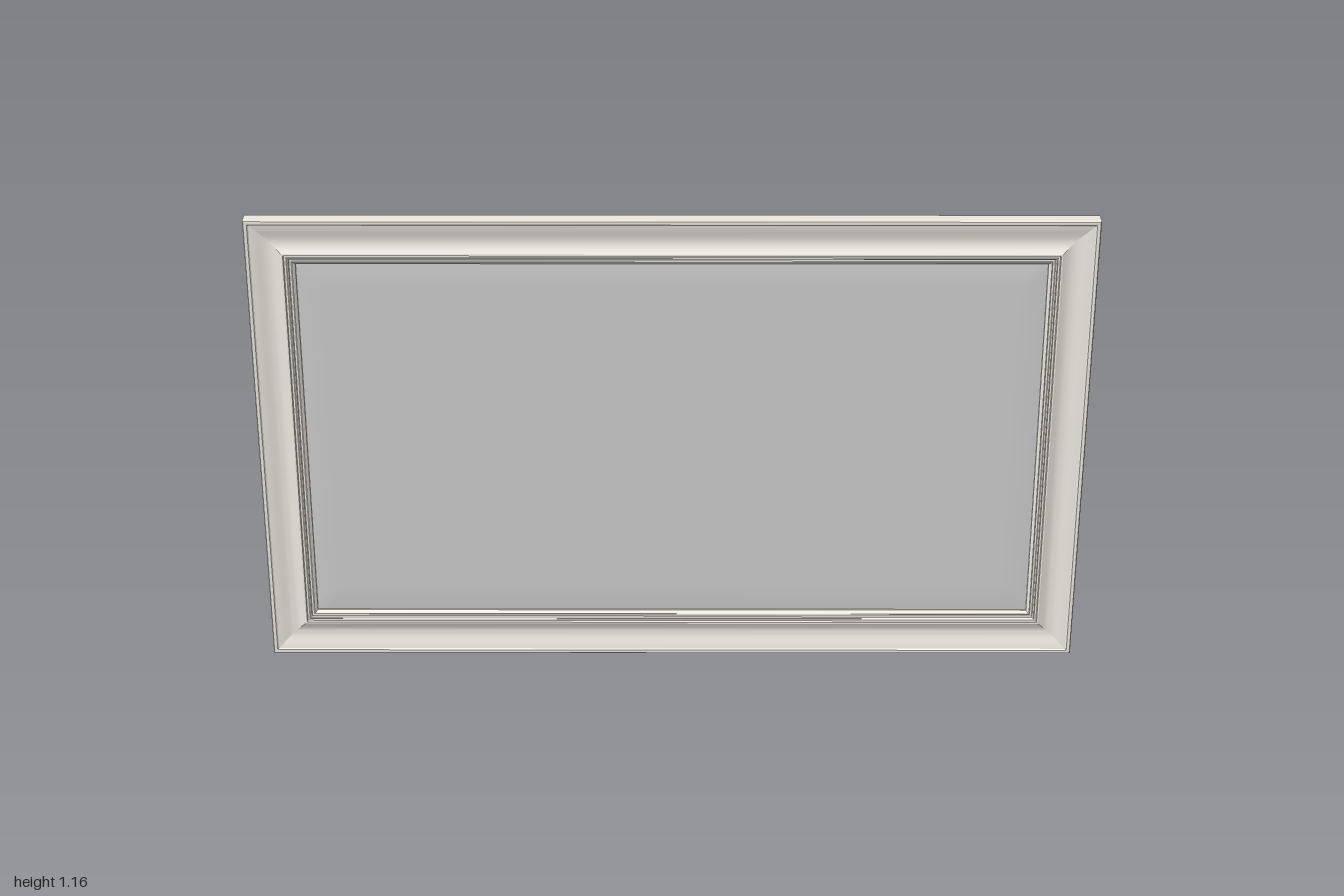
import * as THREE from 'three';
import { toCreasedNormals } from 'three/addons/utils/BufferGeometryUtils.js';

const W = 1, H = 0.5825; // half width and half height of the frame

// Moulding section as [inset from outer edge, z]: outer edge, front, opening, back
const profile = [
  [0, -0.018], [0, 0.018], [0.002, 0.021], [0.006, 0.022], [0.01, 0.021], [0.013, 0.018], [0.018, 0.017],
];
// Scooped face between the outer bead and the inner fillet
for (let i = 1; i <= 10; i++) {
  const t = i / 10;
  profile.push([0.018 + 0.067 * t, 0.017 - 0.01 * Math.sin(Math.PI * t ** 1.3) + 0.002 * t]);
}
// Two beaded steps down to the glass, then a thin slip nearly flush with the back
profile.push(
  [0.089, 0.019], [0.09, 0.012], [0.095, 0.012], [0.097, 0.014], [0.1, 0.012],
  [0.101, 0.007], [0.106, 0.007], [0.108, 0.009], [0.111, 0.007], [0.115, 0.002],
  [0.115, -0.017], [0.104, -0.017], [0.104, -0.018],
);

// One mitred rail running from corner i to the next corner, anticlockwise
function railGeometry(i) {
  const sx = [-1, 1, 1, -1], sy = [-1, -1, 1, 1], j = (i + 1) % 4;
  const point = (k, [d, z]) => [sx[k] * (W - d), H + sy[k] * (H - d), z];
  const positions = [];
  profile.forEach((p, n) => {
    const q = profile[(n + 1) % profile.length];
    const a = point(i, p), b = point(j, p), c = point(j, q), d = point(i, q);
    positions.push(...a, ...b, ...c, ...a, ...c, ...d);
  });
  const geometry = new THREE.BufferGeometry();
  geometry.setAttribute('position', new THREE.Float32BufferAttribute(positions, 3));
  return toCreasedNormals(geometry, 0.5);
}

// Thin pane whose border curves softly back towards the frame
function paneGeometry() {
  const w = W - 0.114, h = H - 0.114, border = 0.06;
  const geometry = new THREE.PlaneGeometry(2 * w, 2 * h, 100, 54);
  const position = geometry.attributes.position;
  for (let i = 0; i < position.count; i++) {
    const edge = Math.min(w - Math.abs(position.getX(i)), h - Math.abs(position.getY(i)));
    position.setZ(i, -0.006 + 0.007 * THREE.MathUtils.smoothstep(edge, -border, border));
  }
  geometry.computeVertexNormals();
  return geometry.translate(0, H, 0);
}

// Split hanging ring with a small tab on each side
function makeHanger(name, material) {
  const hanger = new THREE.Group();
  hanger.name = name;
  for (const side of [0, Math.PI]) {
    const half = new THREE.Group();
    half.name = name + 'Half';
    half.rotation.z = side;
    const arc = new THREE.Mesh(new THREE.TorusGeometry(0.032, 0.0016, 6, 20, 2.4), material);
    arc.name = name + 'Arc';
    arc.rotation.z = -1.55;
    const tab = new THREE.Mesh(new THREE.BoxGeometry(0.018, 0.004, 0.003), material);
    tab.name = name + 'Tab';
    tab.position.x = 0.041;
    half.add(arc, tab);
    hanger.add(half);
  }
  return hanger;
}

export function createModel() {
  const model = new THREE.Group();
  model.name = 'framedMirror';
  const frameMaterial = new THREE.MeshStandardMaterial({ color: 0xebe7df });
  const glassMaterial = new THREE.MeshStandardMaterial({ color: 0xcccccc, side: THREE.DoubleSide });
  const metalMaterial = new THREE.MeshStandardMaterial({ color: 0xcccccc });

  // Frame rails
  const frame = new THREE.Group();
  frame.name = 'frame';
  ['bottomRail', 'leftRail', 'topRail', 'rightRail'].forEach((name, i) => {
    const rail = new THREE.Mesh(railGeometry(i), frameMaterial);
    rail.name = name;
    frame.add(rail);
  });
  model.add(frame);

  // Mirror glass
  const glass = new THREE.Mesh(paneGeometry(), glassMaterial);
  glass.name = 'mirrorGlass';
  model.add(glass);

  // Hangers on the back of the upper corners
  for (const [name, side] of [['leftHanger', 1], ['rightHanger', -1]]) {
    const hanger = makeHanger(name, metalMaterial);
    hanger.position.set(side * 0.95, 1.1, -0.02);
    model.add(hanger);
  }
  return model;
}
